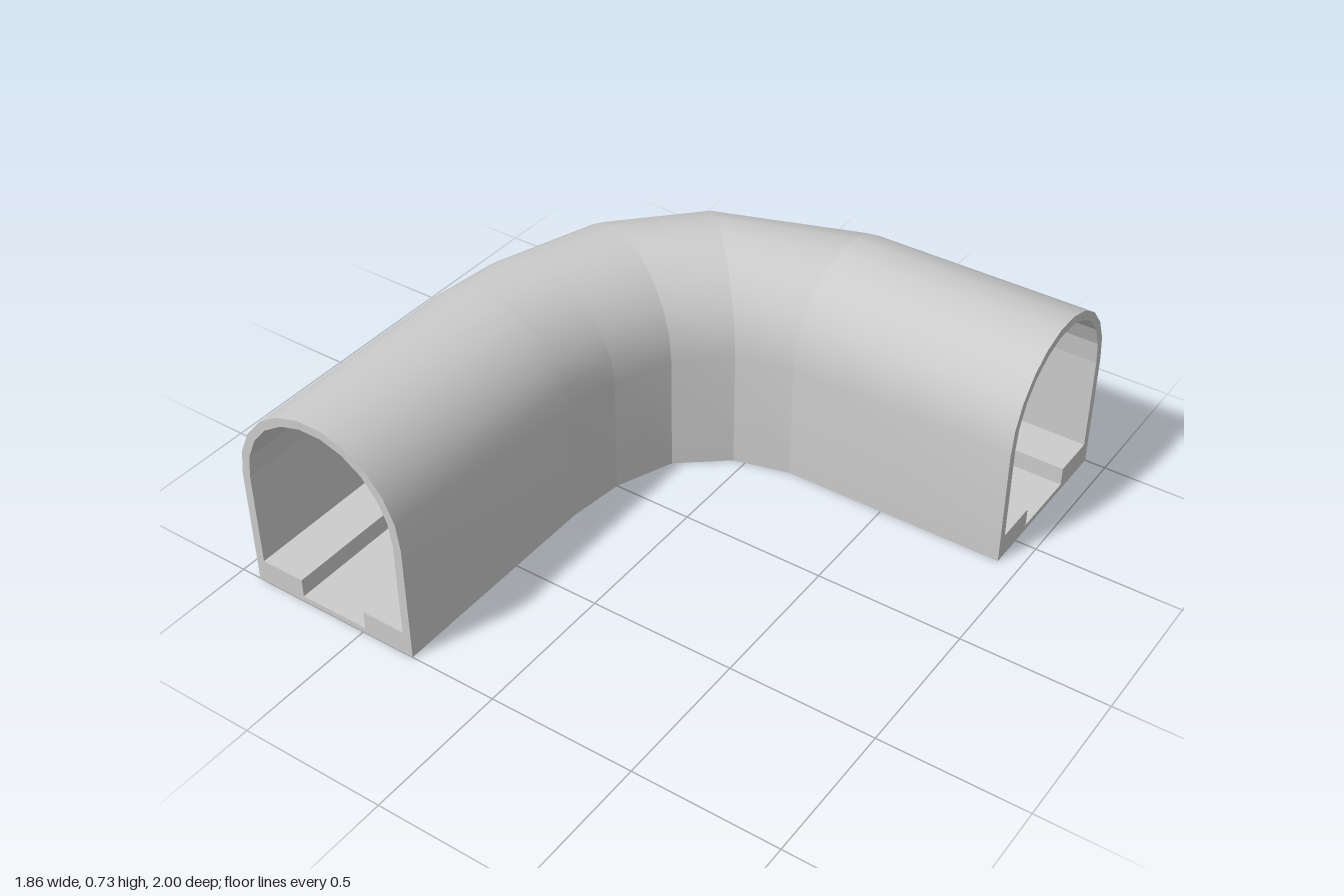
import * as THREE from 'three';
import { mergeGeometries, toCreasedNormals } from 'three/addons/utils/BufferGeometryUtils.js';

// Plan of the bend: [outer x, outer z, inner x, inner z] at each station
const STATIONS = [
  [-0.928, 1, -0.305, 1],
  [-0.928, 0.2, -0.305, 0.2],
  [-0.9, -0.05, -0.28, 0],
  [-0.765, -0.46, -0.2, -0.2],
  [-0.48, -0.77, -0.04, -0.33],
  [0.15, -1, 0.15, -0.38],
  [0.928, -1, 0.928, -0.38],
];
const SPRING = 0.42; // height where the arch begins
const ARCH_SIDES = 11;

// Arch points from right to left; u runs 0..1 across the tunnel
function arch(halfWidth, rise) {
  const points = [];
  for (let i = 0; i <= ARCH_SIDES; i++) {
    const a = (Math.PI * i) / ARCH_SIDES;
    points.push([0.5 + halfWidth * Math.cos(a), SPRING + rise * Math.sin(a)]);
  }
  return points;
}

// Counter-clockwise sections: outside, and the hollow with its floor channel
const OUTER = [[0, 0], [1, 0], ...arch(0.5, 0.318)];
const HOLLOW = [
  [0.048, 0.085], [0.3, 0.085], [0.3, 0.02], [0.702, 0.02], [0.702, 0.085], [0.952, 0.085],
  ...arch(0.452, 0.288),
];

function place([u, y], [ox, oz, ix, iz]) {
  return [ox + (ix - ox) * u, y, oz + (iz - oz) * u];
}

// Sweep a closed section through the stations, one straight run at a time
function sweep(section, creaseAngle) {
  const runs = [];
  for (let s = 0; s < STATIONS.length - 1; s++) {
    const positions = [];
    section.forEach((p, j) => {
      const q = section[(j + 1) % section.length];
      const a = place(p, STATIONS[s]);
      const b = place(q, STATIONS[s]);
      const c = place(q, STATIONS[s + 1]);
      const d = place(p, STATIONS[s + 1]);
      positions.push(...a, ...d, ...b, ...b, ...d, ...c);
    });
    const run = new THREE.BufferGeometry();
    run.setAttribute('position', new THREE.Float32BufferAttribute(positions, 3));
    runs.push(toCreasedNormals(run, creaseAngle));
  }
  return mergeGeometries(runs);
}

// Flat end face with the hollow cut out
function endFace(station, flip) {
  const toVectors = (points) => points.map(([u, y]) => new THREE.Vector2(u, y));
  const shape = new THREE.Shape(toVectors(OUTER));
  shape.holes.push(new THREE.Path(toVectors(HOLLOW)));
  const geometry = new THREE.ShapeGeometry(shape);
  const pos = geometry.attributes.position;
  for (let i = 0; i < pos.count; i++) {
    pos.setXYZ(i, ...place([pos.getX(i), pos.getY(i)], station));
  }
  if (flip) geometry.index.array.reverse();
  geometry.computeVertexNormals();
  return geometry;
}

export function createModel() {
  const group = new THREE.Group();
  group.name = 'curvedTunnel';
  const smooth = new THREE.MeshStandardMaterial({ color: 0xcccccc });
  const flat = new THREE.MeshStandardMaterial({ color: 0xcccccc, flatShading: true });

  function add(name, geometry, material) {
    const mesh = new THREE.Mesh(geometry, material);
    mesh.name = name;
    group.add(mesh);
  }

  add('outerShell', sweep(OUTER, 0.33), smooth);
  add('innerLiningAndFloor', sweep([...HOLLOW].reverse(), 0.01), flat);
  add('frontEndFace', endFace(STATIONS[0], false), flat);
  add('sideEndFace', endFace(STATIONS[STATIONS.length - 1], true), flat);
  return group;
}
